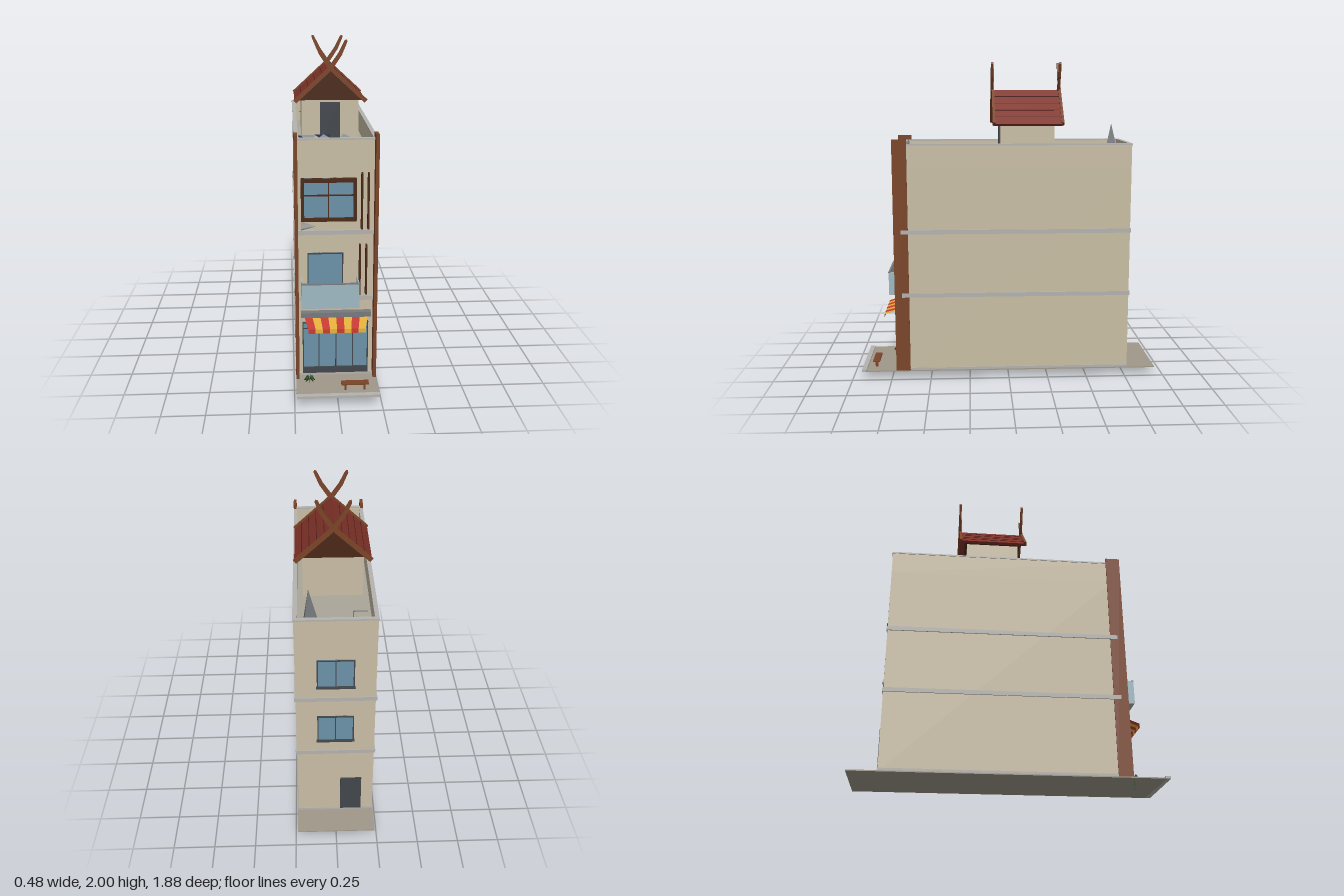
import * as THREE from 'three';

const mat = (color, side = THREE.FrontSide) => new THREE.MeshStandardMaterial({ color, side });
const M = {
  wall: mat(0xc8bda4), deck: mat(0xaaa699), trim: mat(0xb4b2ae), paving: mat(0xa0988a),
  wood: mat(0x7a4428), dark: mat(0x4a2817), tile: mat(0x7d3128), seam: mat(0x55211b),
  glass: mat(0x6b91a8), rail: mat(0x9fb9c2), metal: mat(0x42474c), grey: mat(0x777a7d),
  red: mat(0xc23a32, THREE.DoubleSide), yellow: mat(0xe0ae3a, THREE.DoubleSide),
  navy: mat(0x26304f, THREE.DoubleSide), linen: mat(0x8d939c, THREE.DoubleSide),
  leaf: mat(0x3c5a32, THREE.DoubleSide),
};

function add(parent, name, geometry, material) {
  const mesh = new THREE.Mesh(geometry, material);
  mesh.name = name;
  parent.add(mesh);
  return mesh;
}

// Box given by its limits on each axis
function box(parent, name, x0, x1, y0, y1, z0, z1, material) {
  const m = add(parent, name, new THREE.BoxGeometry(x1 - x0, y1 - y0, z1 - z0), material);
  m.position.set((x0 + x1) / 2, (y0 + y1) / 2, (z0 + z1) / 2);
  return m;
}

function group(parent, name) {
  const g = new THREE.Group();
  g.name = name;
  parent.add(g);
  return g;
}

// Flat polygon from a fan of corners
function fan(parent, name, points, material) {
  const geo = new THREE.BufferGeometry().setFromPoints(points.map(p => new THREE.Vector3(...p)));
  const index = [];
  for (let i = 1; i < points.length - 1; i++) index.push(0, i, i + 1);
  geo.setIndex(index);
  geo.computeVertexNormals();
  return add(parent, name, geo, material);
}

// Glazing with a frame and bars; dir is the way it faces along z
function glazedUnit(parent, name, x0, x1, y0, y1, z, dir, f, depth, frame, barsX = [], barsY = []) {
  const g = group(parent, name);
  const slab = (n, a, b, c, d, out, m) =>
    box(g, n, a, b, c, d, Math.min(z, z + dir * out), Math.max(z, z + dir * out), m);
  slab('pane', x0, x1, y0, y1, depth * 0.5, M.glass);
  for (const [a, b] of [[x0, x0 + f], [x1 - f, x1]]) slab('jamb', a, b, y0, y1, depth, frame);
  for (const [c, d] of [[y0, y0 + f], [y1 - f, y1]]) slab('rail', x0, x1, c, d, depth, frame);
  for (const x of barsX) slab('bar', x - 0.003, x + 0.003, y0, y1, depth * 0.8, frame);
  for (const y of barsY) slab('bar', x0, x1, y - 0.003, y + 0.003, depth * 0.8, frame);
  return g;
}

function rectRing(parent, name, x, z0, z1, y0, y1, t, material) {
  const g = group(parent, name);
  for (const s of [-1, 1]) box(g, 'side', Math.min(s * x, s * (x - t)), Math.max(s * x, s * (x - t)), y0, y1, z0, z1, material);
  box(g, 'front', -x + t, x - t, y0, y1, z1 - t, z1, material);
  box(g, 'back', -x + t, x - t, y0, y1, z0, z0 + t, material);
}

function buildShell(root) {
  box(root, 'pavement', -0.238, 0.238, 0.05, 0.057, -0.945, 0.915, M.paving);
  box(root, 'kerb', -0.238, 0.238, 0.05, 0.065, 0.91, 0.94, M.trim);
  box(root, 'body', -0.232, 0.232, 0.052, 1.355, -0.765, 0.66, M.wall);
  box(root, 'roofDeck', -0.22, 0.22, 1.355, 1.36, -0.75, 0.645, M.deck);
  rectRing(root, 'parapet', 0.232, -0.765, 0.66, 1.355, 1.495, 0.018, M.wall);
  rectRing(root, 'parapetCap', 0.236, -0.768, 0.67, 1.493, 1.503, 0.025, M.trim);
  for (const y of [0.955, 0.55]) box(root, 'floorBand', -0.24, 0.24, y - 0.013, y + 0.013, -0.77, 0.675, M.trim);
  box(root, 'plinth', -0.236, 0.236, 0.055, 0.072, -0.768, 0.675, M.trim);
  for (const s of [-1, 1]) box(root, 'sideFin', s * 0.228 - 0.01, s * 0.228 + 0.01, 0.055, 1.53, 0.63, 0.72, M.wood);
}

function buildFront(root) {
  // Shopfront
  glazedUnit(root, 'shopfront', -0.197, 0.192, 0.072, 0.40, 0.66, 1, 0.006, 0.015, M.metal, [-0.1, 0, 0.1], [0.36]);
  box(root, 'shopfrontBase', -0.197, 0.192, 0.072, 0.11, 0.66, 0.678, M.metal);
  box(root, 'fasciaBoard', -0.205, 0.205, 0.44, 0.47, 0.66, 0.70, M.grey);
  // Striped awning with a short valance
  const awning = group(root, 'awning');
  const n = 8;
  for (let i = 0; i < n; i++) {
    const a = -0.19 + 0.38 * i / n, b = a + 0.38 / n, k = 0.87, m = i % 2 ? M.yellow : M.red;
    fan(awning, 'stripe', [[a, 0.448, 0.67], [a * k, 0.41, 0.795], [b * k, 0.41, 0.795], [b, 0.448, 0.67]], m);
    fan(awning, 'valance', [[a * k, 0.41, 0.795], [a * k, 0.385, 0.797], [b * k, 0.385, 0.797], [b * k, 0.41, 0.795]], m);
  }
  // Balcony
  const balcony = group(root, 'balcony');
  box(balcony, 'floor', -0.203, 0.13, 0.525, 0.55, 0.66, 0.765, M.trim);
  box(balcony, 'frontPanel', -0.203, 0.13, 0.53, 0.675, 0.757, 0.767, M.rail);
  for (const x of [-0.203, 0.122]) box(balcony, 'sidePanel', x, x + 0.008, 0.53, 0.675, 0.66, 0.76, M.rail);
  box(balcony, 'handrail', -0.205, 0.132, 0.672, 0.678, 0.755, 0.769, M.grey);
  box(root, 'underBalconyBeam', -0.135, 0.13, 0.50, 0.515, 0.66, 0.70, M.dark);
  glazedUnit(root, 'balconyDoor', -0.165, 0.042, 0.55, 0.83, 0.66, 1, 0.006, 0.012, M.metal);
  // Upper window
  glazedUnit(root, 'upperWindow', -0.2, 0.115, 1.03, 1.275, 0.66, 1, 0.018, 0.045, M.dark, [-0.045], [1.18]);
  // Vertical slats
  for (const [x, y0, y1] of [[0.147, 0.975, 1.305], [0.184, 0.975, 1.305], [0.138, 0.575, 0.88], [0.175, 0.575, 0.88]])
    box(root, 'slat', x - 0.005, x + 0.005, y0, y1, 0.66, 0.69, M.dark);
  // Wall lamp
  const lamp = add(root, 'wallLamp', new THREE.ConeGeometry(0.032, 0.085, 3), M.trim);
  lamp.rotation.z = -Math.PI / 2;
  lamp.position.set(-0.158, 0.995, 0.68);
}

function buildBack(root) {
  for (const [y0, y1] of [[1.045, 1.235], [0.645, 0.83]]) {
    glazedUnit(root, 'backWindow', -0.108, 0.108, y0, y1, -0.765, -1, 0.007, 0.01, M.metal, [0]);
    box(root, 'backSill', -0.113, 0.113, y0 - 0.007, y0 + 0.003, -0.78, -0.765, M.metal);
  }
  box(root, 'backDoor', -0.16, -0.03, 0.072, 0.33, -0.773, -0.765, M.metal);
}

function buildRooftopHut(root) {
  const hut = group(root, 'rooftopHut');
  hut.position.z = -0.118;
  box(hut, 'walls', -0.18, 0.18, 1.358, 1.64, -0.168, 0.168, M.wall);
  box(hut, 'door', -0.063, 0.063, 1.36, 1.61, 0.168, 0.176, M.metal);
  const gable = new THREE.Shape([[-0.205, 1.625], [0.205, 1.625], [0, 1.815]].map(p => new THREE.Vector2(...p)));
  add(hut, 'gable', new THREE.ExtrudeGeometry(gable, { depth: 0.36, bevelEnabled: false }), M.dark).position.z = -0.18;

  // Two roof slopes with raised seams
  const angle = Math.atan2(0.205, 0.22), length = 0.3;
  for (const turn of [0, Math.PI]) {
    const half = group(hut, 'roofHalf');
    half.rotation.y = turn;
    const slope = group(half, 'slope');
    slope.position.y = 1.822;
    slope.rotation.z = -angle;
    box(slope, 'tiles', 0, length, -0.009, 0.008, -0.212, 0.212, M.tile);
    for (const t of [0.2, 0.4, 0.6, 0.8]) box(slope, 'seam', t * length - 0.002, t * length + 0.002, 0, 0.01, -0.212, 0.212, M.seam);
  }

  // Crossed gable boards rising past the ridge as horns
  const path = [[-0.222, 1.622], [-0.02, 1.808], [0.012, 1.845], [0.06, 1.915], [0.095, 1.992]];
  const w = [0.013, 0.013, 0.013, 0.012, 0.009];
  const edge = s => path.map(([x, y], i) => {
    const p = path[Math.max(i - 1, 0)], q = path[Math.min(i + 1, path.length - 1)];
    const l = Math.hypot(q[0] - p[0], q[1] - p[1]);
    return new THREE.Vector2(x + s * w[i] * (q[1] - p[1]) / l, y - s * w[i] * (q[0] - p[0]) / l);
  });
  const tip = new THREE.Vector2(0.1, 2);
  const outline = new THREE.Shape([...edge(1), tip, ...edge(-1).reverse()]);
  const geo = new THREE.ExtrudeGeometry(outline, { depth: 0.016, bevelEnabled: false });
  for (const turn of [0, Math.PI]) {
    const end = group(hut, 'hornedGable');
    end.rotation.y = turn;
    add(end, 'horn', geo, M.wood).position.z = 0.208;
    const other = add(end, 'horn', geo, M.wood);
    other.rotation.y = Math.PI;
    other.position.z = 0.217;
  }
}

function buildRoofItems(root) {
  // Laundry on a low rack
  const rack = group(root, 'laundryRack');
  for (const z of [0.27, 0.34]) box(rack, 'line', -0.22, 0.13, 1.425, 1.429, z - 0.002, z + 0.002, M.metal);
  for (const x of [-0.19, 0.1]) for (const z of [0.27, 0.34])
    box(rack, 'leg', x - 0.002, x + 0.002, 1.36, 1.427, z - 0.002, z + 0.002, M.metal);
  const cloth = [[-0.165, 1, M.navy], [-0.145, 1, M.linen], [-0.055, 1, M.navy], [-0.05, -1, M.linen], [0.075, -1, M.linen]];
  cloth.forEach(([x, s, m], i) => {
    const y = 1.432 + i * 0.002;
    fan(rack, 'cloth', [[x - 0.052, y, 0.305 - s * 0.095], [x, y, 0.305 + s * 0.095], [x + 0.052, y, 0.305 - s * 0.095]], m);
  });
  // Aerial mast and small rod
  const mast = add(root, 'aerialMast', new THREE.ConeGeometry(0.07, 0.265, 3).toNonIndexed(), M.grey);
  mast.rotation.y = -Math.PI / 2;
  mast.position.set(0.148, 1.49, -0.645);
  mast.geometry.computeVertexNormals();
  box(root, 'rodPost', -0.107, -0.101, 1.36, 1.45, -0.603, -0.597, M.grey);
  box(root, 'rod', -0.185, -0.1, 1.445, 1.45, -0.602, -0.598, M.grey);
}

function buildPavementItems(root) {
  const bench = group(root, 'bench');
  box(bench, 'seat', 0.02, 0.18, 0.094, 0.102, 0.832, 0.876, M.wood);
  for (const x of [0.04, 0.15]) box(bench, 'leg', x, x + 0.01, 0.057, 0.095, 0.845, 0.862, M.wood);
  // Low plant with arching leaves
  const plant = group(root, 'plant');
  plant.position.set(-0.16, 0, 0.74);
  add(plant, 'stem', new THREE.CylinderGeometry(0.003, 0.002, 0.07, 5), M.leaf).position.y = 0.035;
  for (let i = 0; i < 8; i++) {
    const a = i * Math.PI / 4;
    fan(plant, 'leaf', [[0, 0.068, 0], [0.016, 0.09, -0.005], [0.034, 0.058, 0], [0.016, 0.088, 0.006]], M.leaf).rotation.y = a;
  }
}

export function createModel() {
  const root = new THREE.Group();
  root.name = 'townhouse';
  for (const build of [buildShell, buildFront, buildBack, buildRooftopHut, buildRoofItems, buildPavementItems]) build(root);
  return root;
}
